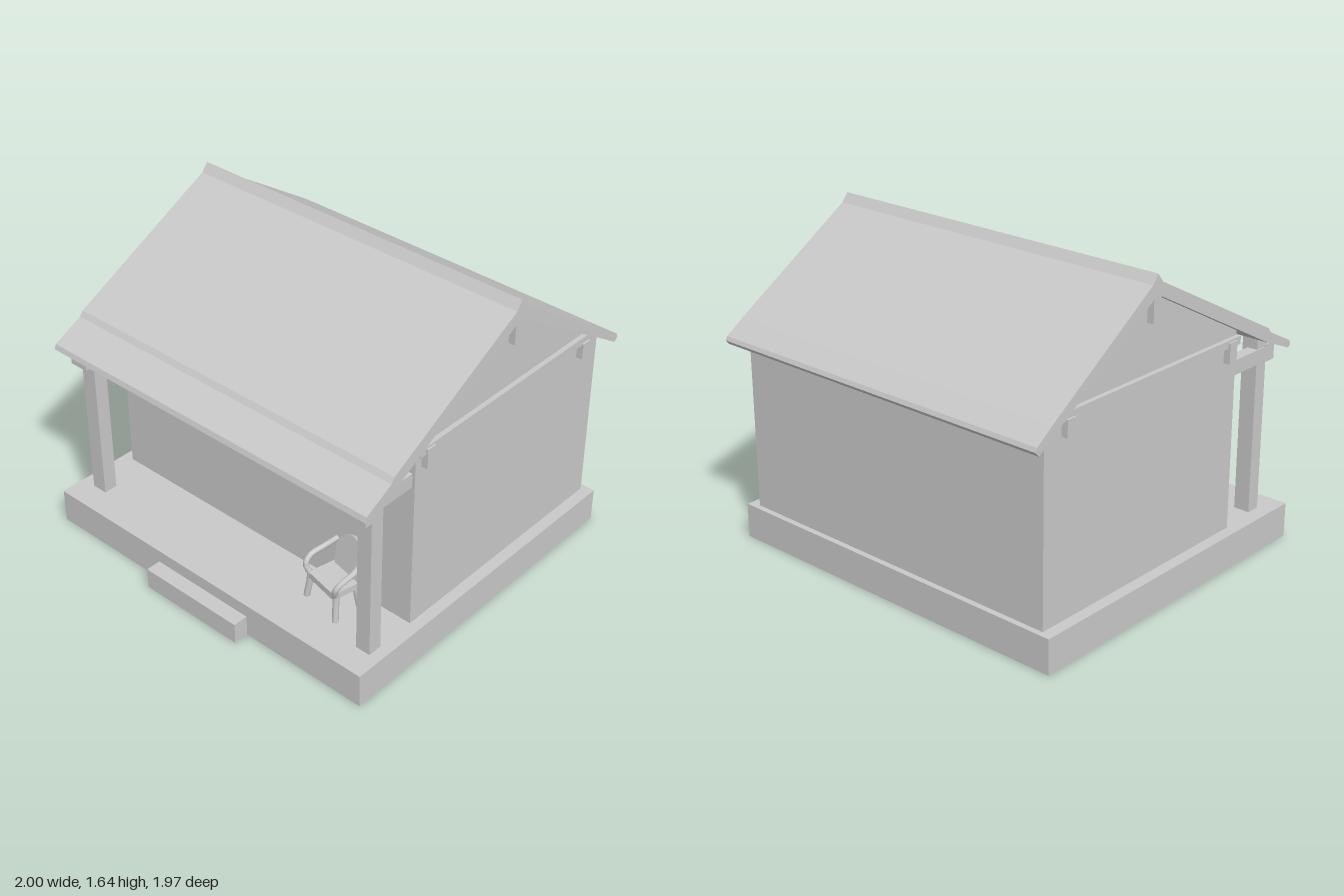
import * as THREE from 'three';

const plaster = new THREE.MeshStandardMaterial({ color: 0xc8c8c8, side: THREE.DoubleSide });
plaster.name = 'plainGrey';

export function createModel() {
  const house = new THREE.Group();
  house.name = 'house';

  const add = (name, geometry, parent = house) => {
    const mesh = new THREE.Mesh(geometry, plaster);
    mesh.name = name;
    parent.add(mesh);
    return mesh;
  };
  // Box given by its limits on each axis
  const block = (name, [x0, x1], [y0, y1], [z0, z1], parent) => {
    const g = new THREE.BoxGeometry(x1 - x0, y1 - y0, z1 - z0);
    g.translate((x0 + x1) / 2, (y0 + y1) / 2, (z0 + z1) / 2);
    return add(name, g, parent);
  };
  // Outline in (z, y) swept along x
  const sweepX = (points, x0, x1) => {
    const shape = new THREE.Shape(points.map(([z, y]) => new THREE.Vector2(z, y)));
    const g = new THREE.ExtrudeGeometry(shape, { depth: x1 - x0, bevelEnabled: false });
    return g.rotateY(-Math.PI / 2).translate(x1, 0, 0);
  };
  // Flat rectangle with a rectangular hole, standing from y0 to y1
  const ring = (name, [x0, x1, z0, z1], [a0, a1, b0, b1], y0, y1) => {
    const rect = (l, r, b, f) => [[l, -f], [r, -f], [r, -b], [l, -b]].map(p => new THREE.Vector2(...p));
    const shape = new THREE.Shape(rect(x0, x1, z0, z1));
    shape.holes.push(new THREE.Path(rect(a0, a1, b0, b1).reverse()));
    const g = new THREE.ExtrudeGeometry(shape, { depth: y1 - y0, bevelEnabled: false });
    return add(name, g.rotateX(-Math.PI / 2).translate(0, y0, 0));
  };
  const tube = (name, points, radius, parent) => {
    const curve = new THREE.CatmullRomCurve3(points.map(p => new THREE.Vector3(...p)));
    return add(name, new THREE.TubeGeometry(curve, 12, radius, 8), parent);
  };

  // Hollow plinth, deck and entrance step, all open underneath
  ring('plinthSkirt', [-1, 1, -0.91, 0.9], [-0.985, 0.985, -0.895, 0.885], 0, 0.165);
  ring('deck', [-1, 1, -0.91, 0.9], [-0.925, 0.925, -0.865, 0.465], 0.165, 0.18);
  block('stepTop', [-0.3, 0.295], [0.1, 0.112], [0.9, 0.98]);
  block('stepFront', [-0.3, 0.295], [0, 0.1], [0.97, 0.98]);
  block('stepEnd', [-0.3, -0.29], [0, 0.1], [0.9, 0.97]);
  block('stepEnd', [0.285, 0.295], [0, 0.1], [0.9, 0.97]);

  // Walls of the room, with gables that reach the roof
  block('frontWall', [-0.925, 0.925], [0.17, 1.22], [0.465, 0.48]);
  block('backWall', [-0.925, 0.925], [0.17, 1.12], [-0.88, -0.865]);
  const gable = [[-0.88, 0.17], [0.48, 0.17], [0.48, 1.21], [-0.18, 1.56], [-0.88, 1.11]];
  add('gableWall', sweepX(gable, -0.94, -0.925));
  add('gableWall', sweepX(gable, 0.925, 0.94));

  // Roof: two pitches, a pointed ridge and a lower front strip
  const roof = sweepX([
    [-0.18, 1.645], [-0.145, 1.6], [0.68, 1.168], [0.7, 1.142], [0.86, 1.06], [0.87, 1.035], [0.85, 1.025],
    [0.68, 1.095], [-0.18, 1.55], [-0.965, 1.052], [-0.985, 1.075], [-0.975, 1.095], [-0.88, 1.162], [-0.215, 1.6]
  ], -1, 1);
  const pos = roof.attributes.position;
  for (let i = 0; i < pos.count; i++) {
    const halfWidth = 0.99 - 0.014 * (pos.getY(i) - 1.03) / 0.6;
    pos.setX(i, pos.getX(i) * halfWidth + 0.002);
  }
  roof.computeVertexNormals();
  add('roof', roof);

  // Side timbers: tie beams, purlin ends and porch framing
  for (const s of [-1, 1]) {
    const span = (a, b) => (s > 0 ? [a, b] : [-b, -a]);
    block('tieBeam', span(0.93, 0.965), [1.14, 1.18], [-0.79, 0.48]);
    block('ridgePurlinEnd', span(0.93, 0.975), [1.42, 1.55], [-0.205, -0.15]);
    block('backPurlinEnd', span(0.93, 0.975), [1.065, 1.15], [-0.77, -0.715]);
    block('frontPurlinEnd', span(0.93, 0.975), [1.065, 1.17], [0.385, 0.44]);
    block('porchBeam', span(0.865, 0.925), [0.965, 1.04], [0.475, 0.78]);
    const [p0, p1] = s > 0 ? [0.86, 0.94] : [-0.92, -0.835];
    block('porchPost', [p0, p1], [0.17, 1.09], [0.69, 0.765]);
    block('postBracket', [p0 - 0.005, p1 + 0.015], [0.96, 1.05], [0.745, 0.825]);
    // Shallow ledge and lamp on the front wall
    block('wallLedge', span(0.43, 0.78), [0.875, 0.885], [0.478, 0.484]);
    const lamp = new THREE.CylinderGeometry(0.034, 0.012, 0.13, 10);
    add('wallLamp', lamp.scale(0.8, 1, 0.7).translate(s > 0 ? 0.265 : -0.285, 0.895, 0.495));
  }
  block('eaveBracket', [-0.2, -0.15], [0.96, 1.07], [0.73, 0.8]);

  // Porch armchair, turned a little, with its back towards the wall
  const chair = new THREE.Group();
  chair.name = 'chair';
  chair.position.set(0.585, 0.18, 0.59);
  chair.rotation.y = -0.22;
  house.add(chair);
  const seat = new THREE.BoxGeometry(0.2, 0.035, 0.16);
  add('chairSeat', seat.translate(0, 0.135, 0.01), chair);
  for (const s of [-1, 1]) {
    tube('chairFrontLeg', [[s * 0.115, 0, 0.09], [s * 0.105, 0.09, 0.08], [s * 0.1, 0.15, 0.075]], 0.016, chair);
    tube('chairBackLeg', [[s * 0.1, 0, -0.06], [s * 0.09, 0.08, -0.05], [s * 0.085, 0.14, -0.045]], 0.015, chair);
    tube('chairArm', [[s * 0.1, 0.14, 0.08], [s * 0.118, 0.19, 0.092], [s * 0.125, 0.225, 0.06],
      [s * 0.12, 0.245, -0.01], [s * 0.1, 0.28, -0.08]], 0.015, chair);
  }
  // Arched backrest
  const back = new THREE.Shape();
  back.moveTo(-0.085, 0);
  back.lineTo(0.085, 0);
  back.lineTo(0.105, 0.13);
  back.quadraticCurveTo(0.06, 0.21, 0, 0.21);
  back.quadraticCurveTo(-0.06, 0.21, -0.105, 0.13);
  const backGeometry = new THREE.ExtrudeGeometry(back, { depth: 0.02, bevelEnabled: false });
  add('chairBackrest', backGeometry.rotateX(-0.25).translate(0, 0.13, -0.065), chair);

  return house;
}
